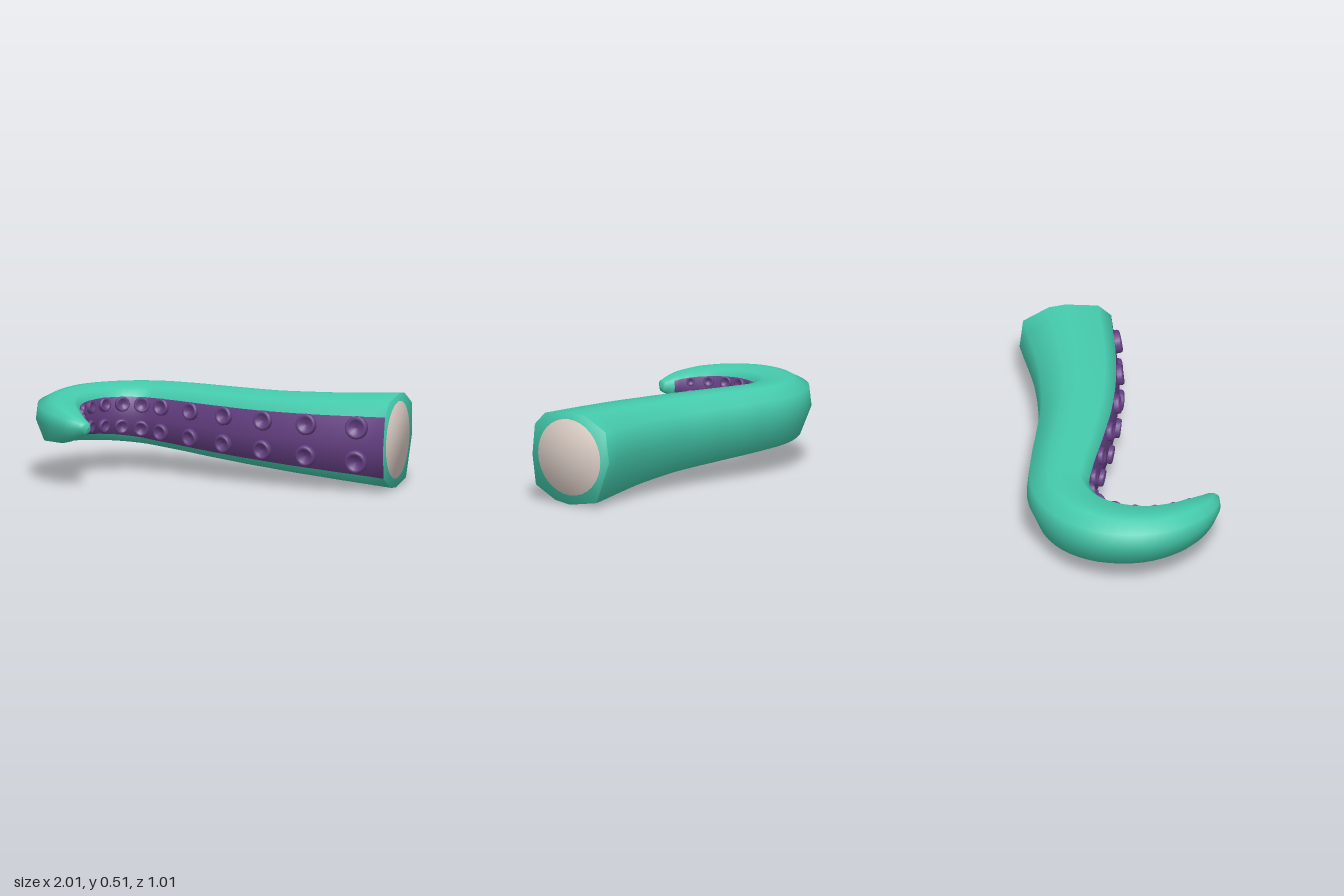
import * as THREE from 'three';

// Centreline stations from cut end to tip: x, y, z, radius
const STATIONS = [
  [0.99, 0.26, 0.035, 0.265], [0.6, 0.271, 0, 0.235], [0.28, 0.28, -0.07, 0.214],
  [-0.01, 0.289, -0.178, 0.2], [-0.24, 0.297, -0.272, 0.188], [-0.45, 0.304, -0.33, 0.176],
  [-0.64, 0.312, -0.285, 0.165], [-0.78, 0.32, -0.16, 0.155], [-0.855, 0.326, 0.03, 0.142],
  [-0.845, 0.33, 0.2, 0.126], [-0.79, 0.333, 0.33, 0.106], [-0.72, 0.335, 0.42, 0.077],
  [-0.665, 0.336, 0.458, 0.05], [-0.632, 0.336, 0.476, 0.03], [-0.622, 0.336, 0.482, 0.001],
];
// Cross-section: (towards suckers, up), counter-clockwise, for a unit radius
const SECTION = [
  [0.24, 0.16], [0.17, 0.23], [-0.01, 0.255], [-0.1, 0.245], [-0.24, 0.17], [-0.26, 0],
  [-0.17, -0.23], [0.01, -0.26], [0.11, -0.245], [0.24, -0.175], [0.26, -0.01],
].map(([f, u]) => [f / 0.265, u / 0.265]);

const curve = new THREE.CatmullRomCurve3(STATIONS.map(([x, y, z]) => new THREE.Vector3(x, y, z)));
const SPANS = STATIONS.length - 1;

// Centre, radius and axes of the limb at t
function frame(t) {
  const k = Math.min(Math.floor(t * SPANS), SPANS - 1);
  const radius = THREE.MathUtils.lerp(STATIONS[k][3], STATIONS[k + 1][3], t * SPANS - k);
  const tangent = curve.getTangent(t);
  const front = new THREE.Vector3(0, 1, 0).cross(tangent).normalize();
  const up = tangent.clone().cross(front);
  return { centre: curve.getPoint(t), radius, tangent, front, up };
}

const offset = (fr, f, u) => fr.centre.clone()
  .addScaledVector(fr.front, f * fr.radius).addScaledVector(fr.up, u * fr.radius);

// Tapered skin with the sucker band as a second material group
function skinGeometry() {
  const rings = SPANS * 4, n = SECTION.length;
  const positions = [], skin = [], band = [];
  for (let i = 0; i <= rings; i++) {
    const fr = frame(i / rings);
    for (const [f, u] of SECTION) positions.push(...offset(fr, f, u).toArray());
  }
  for (let i = 0; i < rings; i++) {
    for (let j = 0; j < n; j++) {
      const a = i * n + j, b = i * n + (j + 1) % n;
      const isBand = j >= n - 2 && i < rings - 9;
      (isBand ? band : skin).push(a, b, a + n, b, b + n, a + n);
    }
  }
  const geo = new THREE.BufferGeometry();
  geo.setAttribute('position', new THREE.Float32BufferAttribute(positions, 3));
  geo.setIndex([...skin, ...band]);
  geo.addGroup(0, skin.length, 0);
  geo.addGroup(skin.length, band.length, 1);
  geo.computeVertexNormals();
  return geo;
}

// Give a flat cap softly rounded normals
function roundNormals(geo, strength) {
  const p = geo.attributes.position, v = new THREE.Vector3();
  for (let i = 0; i < p.count; i++) {
    v.set(p.getX(i) * strength, p.getY(i) * strength, 1).normalize();
    geo.attributes.normal.setXYZ(i, v.x, v.y, v.z);
  }
  return geo;
}

export function createModel() {
  const group = new THREE.Group();
  group.name = 'tentacle';
  const material = (name, color) => {
    const m = new THREE.MeshStandardMaterial({ color });
    m.name = name;
    return m;
  };
  const teal = material('teal skin', 0x45cbad);
  const purple = material('purple underside', 0x643f82);
  const pale = material('pale flesh', 0xded0c8);
  const add = (name, geo, mat, parent = group) => {
    const mesh = new THREE.Mesh(geo, mat);
    mesh.name = name;
    parent.add(mesh);
    return mesh;
  };

  add('limb', skinGeometry(), [teal, purple]);

  // Cut end: teal rim with pale flesh inside
  const base = frame(0);
  const end = new THREE.Group();
  end.name = 'cutEnd';
  end.quaternion.setFromRotationMatrix(new THREE.Matrix4().makeBasis(
    base.front.clone().negate(), base.up, base.tangent.clone().negate()));
  end.position.copy(base.centre);
  group.add(end);
  const outline = new THREE.Shape(SECTION.map(([f, u]) =>
    new THREE.Vector2(-f * base.radius, u * base.radius)));
  add('cutRim', roundNormals(new THREE.ShapeGeometry(outline), 2.5), teal, end);
  const flesh = add('flesh', roundNormals(new THREE.RingGeometry(0, 0.211, 32, 4), 2.5), pale, end);
  flesh.position.set(-0.008, 0.003, 0.003);

  // Paired cupped suckers, shrinking and closing up towards the tip
  const cup = new THREE.LatheGeometry([
    [0.9, -0.4], [1, -0.05], [1, 0.35], [0.93, 0.5], [0.78, 0.55], [0.64, 0.48], [0.4, 0.27], [0, 0.18],
  ].map(([x, y]) => new THREE.Vector2(x, y)), 16);
  const up = new THREE.Vector3(0, 1, 0);
  let travelled = 0, next = 0.16, previous = curve.getPoint(0);
  for (let i = 1; i <= 1000; i++) {
    const fr = frame(i / 1000);
    travelled += fr.centre.distanceTo(previous);
    previous = fr.centre;
    if (fr.radius < 0.065) break;
    if (travelled < next) continue;
    next += fr.radius * 1.06;
    for (const side of [1, -1]) {
      const sucker = add(side > 0 ? 'upperSucker' : 'lowerSucker', cup, purple);
      const normal = fr.front.clone().addScaledVector(fr.up, side * 0.12).normalize();
      sucker.position.copy(offset(fr, 0.935, side * 0.365));
      sucker.quaternion.setFromUnitVectors(up, normal);
      sucker.scale.setScalar(fr.radius * 0.25);
    }
  }

  // Centre on the ground
  const box = new THREE.Box3().setFromObject(group, true);
  const mid = box.getCenter(new THREE.Vector3());
  group.position.set(-mid.x, -box.min.y, -mid.z);
  return group;
}
